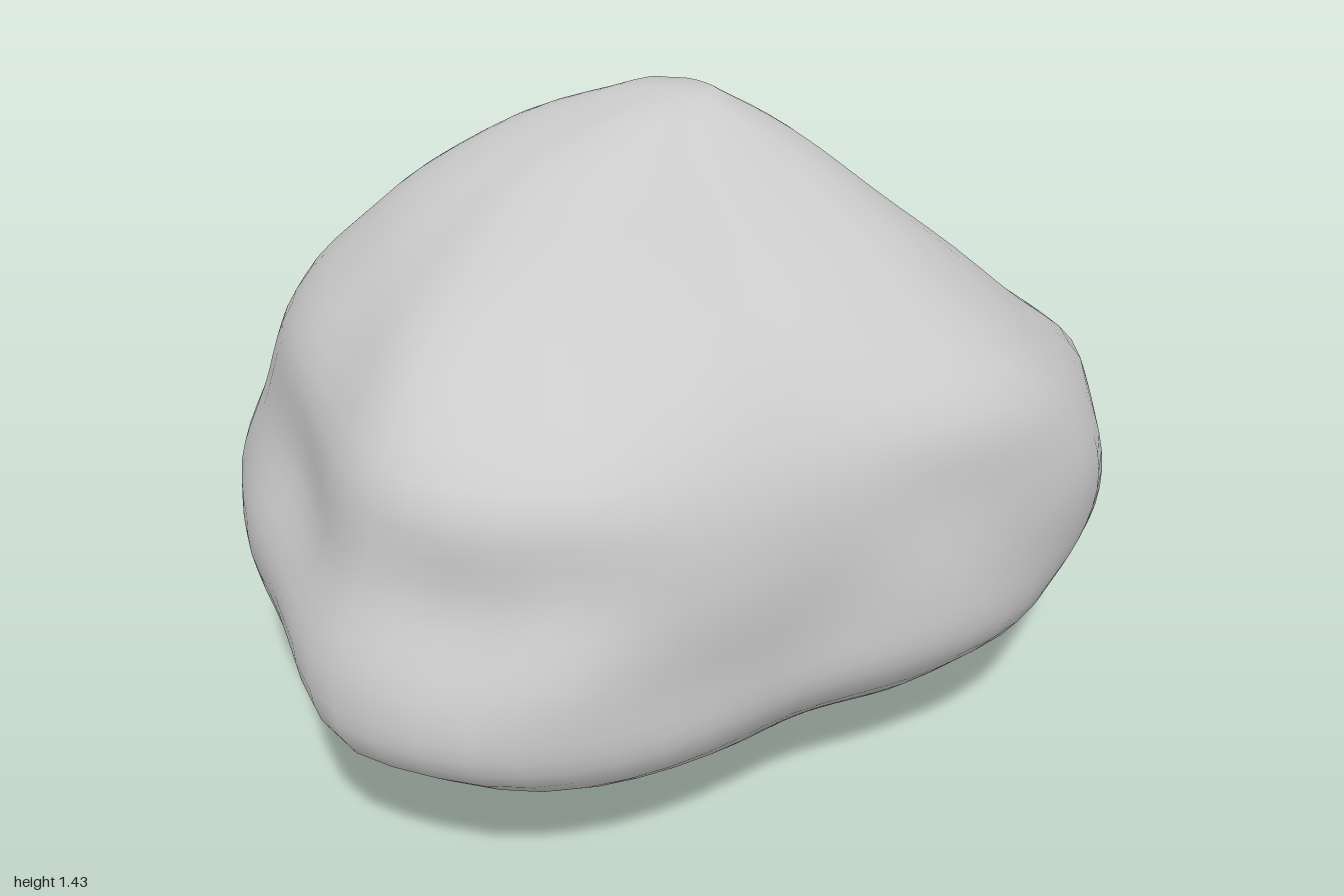
import * as THREE from 'three';

// Plan outline: radius every 22.5 degrees, from +x towards +z
const OUTLINE = [0.97, 1.08, 1.06, 0.92, 0.83, 0.9, 1.05, 1.07, 0.94, 0.93, 0.95, 0.89, 0.85, 0.87, 0.81, 0.9];

// The outline is fitted to each level: height, left to right limits in x, back to front limits in z
const LEVELS = [
  [0.008, -0.12, 0.1, 0.06, 0.24],
  [0.06, -0.27, 0.38, -0.08, 0.42],
  [0.2, -0.65, 0.7, -0.44, 0.66],
  [0.38, -0.97, 0.92, -0.7, 0.83],
  [0.55, -1, 0.99, -0.81, 0.85],
  [0.75, -0.91, 0.98, -0.79, 0.84],
  [0.97, -0.86, 0.75, -0.66, 0.78],
  [1.18, -0.64, 0.53, -0.49, 0.53],
  [1.34, -0.3, 0.37, -0.34, 0.17],
  [1.42, 0.02, 0.25, -0.19, 0],
];
const SIDES = 64, ROWS = 40;

// Gentle weathering, pushed in and out sideways
function weather(p) {
  const n = Math.sin(p.x * 7 + p.y * 4 + 1) * Math.sin(p.z * 8 - p.y * 5)
    + 0.6 * Math.sin(p.y * 13 + p.x * 5) * Math.sin(p.z * 11 + p.x * 9 + 2);
  p.x *= 1 + 0.015 * n;
  p.z *= 1 + 0.015 * n;
  return p;
}

function boulderGeometry() {
  // Smooth curves up the sides, then smooth loops around them
  const columns = OUTLINE.map((r, k) => {
    const a = k * Math.PI / 8;
    return new THREE.CatmullRomCurve3(LEVELS.map(([y, x0, x1, z0, z1]) => new THREE.Vector3(
      (x0 + x1) / 2 + r * Math.cos(a) * (x1 - x0) / 2,
      y,
      (z0 + z1) / 2 + r * Math.sin(a) * (z1 - z0) / 1.7)));
  });
  const points = [];
  for (let i = 0; i <= ROWS; i++) {
    const loop = new THREE.CatmullRomCurve3(columns.map(c => c.getPoint(i / ROWS)), true);
    for (let k = 0; k < SIDES; k++) points.push(weather(loop.getPoint(k / SIDES)));
  }
  const bottom = points.push(new THREE.Vector3(0, 0, 0.15)) - 1;
  const top = points.push(new THREE.Vector3(0.14, 1.43, -0.1)) - 1;

  // Skin between the loops, closed by a fan at each end
  const index = [];
  const last = ROWS * SIDES;
  for (let k = 0; k < SIDES; k++) {
    const n = (k + 1) % SIDES;
    index.push(bottom, k, n, top, last + n, last + k);
    for (let i = 0; i < ROWS; i++) {
      const lo = i * SIDES, hi = lo + SIDES;
      index.push(lo + k, hi + k, lo + n, lo + n, hi + k, hi + n);
    }
  }
  const geometry = new THREE.BufferGeometry().setFromPoints(points);
  geometry.setIndex(index);
  geometry.computeVertexNormals();
  return geometry;
}

export function createModel() {
  const group = new THREE.Group();
  group.name = 'rock';
  const boulder = new THREE.Mesh(boulderGeometry(), new THREE.MeshStandardMaterial({ color: 0xcccccc }));
  boulder.name = 'boulder';
  group.add(boulder);
  return group;
}
